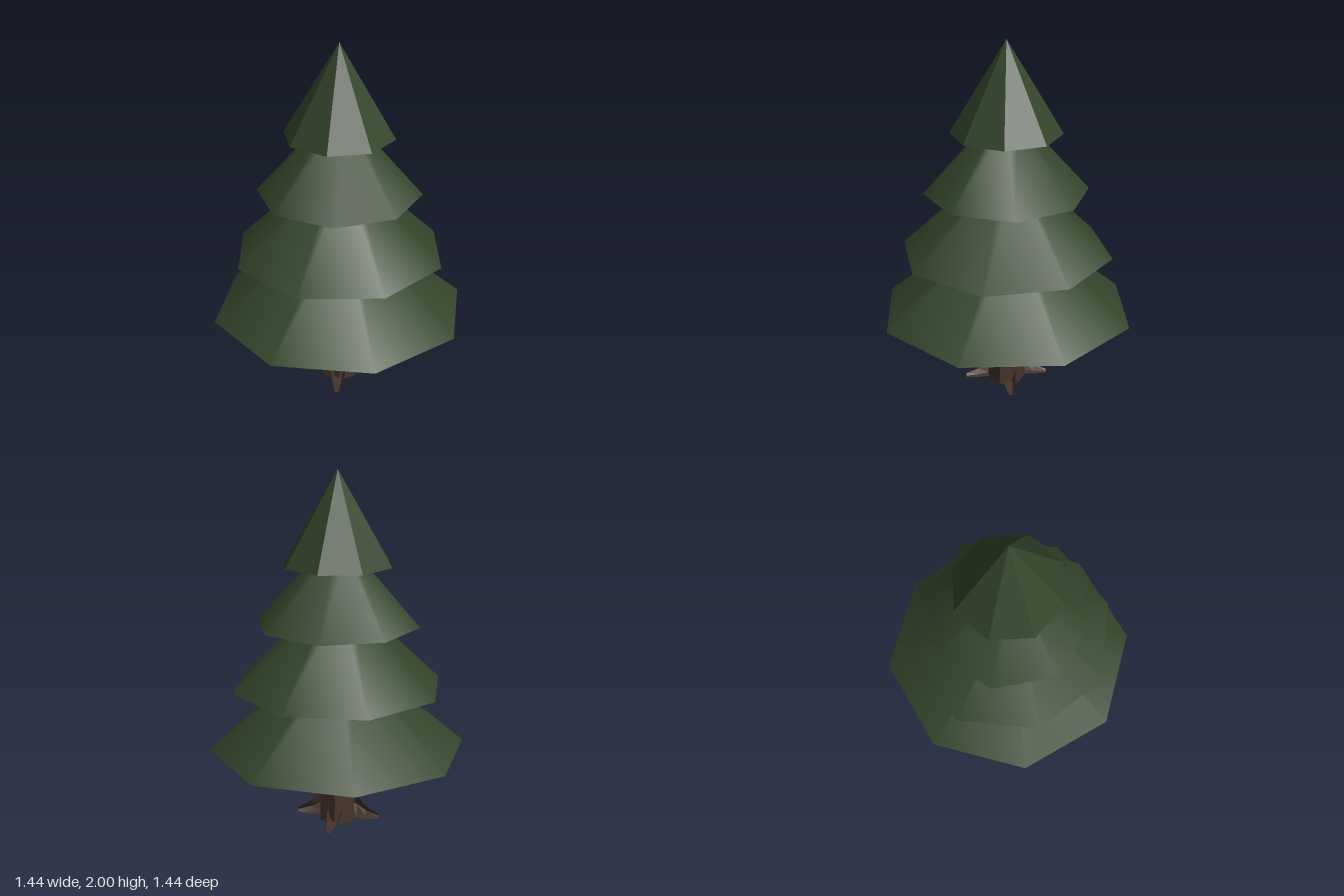
import * as THREE from 'three';

const needleGreen = new THREE.MeshStandardMaterial({ color: 0x33452a, side: THREE.DoubleSide });
needleGreen.name = 'needleGreen';
const barkBrown = new THREE.MeshStandardMaterial({ color: 0x46342a });
barkBrown.name = 'barkBrown';

function flat(geometry) {
  const g = geometry.index ? geometry.toNonIndexed() : geometry;
  g.computeVertexNormals();
  return g;
}

// One foliage tier: an eight-sided skirt with a shallow hollow underneath
function tier({ name, y, radius, topY, topRadius, turn, faceted }) {
  const group = new THREE.Group();
  group.name = name;
  const h = topY - y;
  let skirt = new THREE.CylinderGeometry(topRadius, radius, h, 8, 1, true, turn);
  if (faceted) skirt = flat(skirt);
  const outer = new THREE.Mesh(skirt, needleGreen);
  outer.name = name + 'Skirt';
  outer.position.y = y + h / 2;
  const hollow = 0.2;
  const inner = new THREE.Mesh(
    new THREE.CylinderGeometry(0, radius, hollow, 8, 1, true, turn), needleGreen);
  inner.name = name + 'Underside';
  inner.position.y = y + hollow / 2;
  group.add(outer, inner);
  return group;
}

// Root lofted along +x from diamond sections: [distance, top, bottom, halfWidth]
function rootGeometry() {
  const sections = [
    [0.06, 0.2, 0.02, 0.035],
    [0.105, 0.15, 0.015, 0.042],
    [0.16, 0.085, 0.008, 0.032],
    [0.235, 0.037, 0.008, 0.016],
  ];
  const positions = [];
  const index = [];
  sections.forEach(([x, top, bottom, w]) => {
    const mid = bottom + (top - bottom) * 0.4;
    positions.push(x, top, 0, x, mid, w, x, bottom, w * 0.5, x, bottom, -w * 0.5, x, mid, -w);
  });
  const n = 5;
  for (let s = 0; s < sections.length - 1; s++) {
    for (let i = 0; i < n; i++) {
      const a = s * n + i, b = s * n + (i + 1) % n;
      index.push(a, b, a + n, b, b + n, a + n);
    }
  }
  const e = (sections.length - 1) * n;
  for (let i = 1; i < n - 1; i++) index.push(e, e + i, e + i + 1);
  // Wind the faces outward
  for (let i = 0; i < index.length - 9; i += 3) {
    [index[i + 1], index[i + 2]] = [index[i + 2], index[i + 1]];
  }
  for (let i = index.length - 9; i < index.length; i += 3) {
    [index[i + 1], index[i + 2]] = [index[i + 2], index[i + 1]];
  }
  const g = new THREE.BufferGeometry();
  g.setAttribute('position', new THREE.Float32BufferAttribute(positions, 3));
  g.setIndex(index);
  return flat(g);
}

export function createModel() {
  const tree = new THREE.Group();
  tree.name = 'pineTree';

  // Foliage, bottom to top
  [
    { name: 'bottomTier', y: 0.445, radius: 0.72, topY: 0.98, topRadius: 0.09, turn: 0.02 },
    { name: 'lowerTier', y: 0.805, radius: 0.595, topY: 1.29, topRadius: 0.09, turn: 0.167 },
    { name: 'upperTier', y: 1.16, radius: 0.455, topY: 1.58, topRadius: 0.08, turn: 0.47 },
    { name: 'crownTier', y: 1.49, radius: 0.307, topY: 2, topRadius: 0, turn: 0.335, faceted: true },
  ].forEach((t) => tree.add(tier(t)));

  // Six-sided tapering trunk
  const trunkHeight = 1.4;
  const trunk = new THREE.Mesh(
    flat(new THREE.CylinderGeometry(0.055, 0.108, trunkHeight, 6, 1, false, Math.PI / 2)), barkBrown);
  trunk.name = 'trunk';
  trunk.position.y = trunkHeight / 2;
  tree.add(trunk);

  // Four roots
  const root = rootGeometry();
  for (let i = 0; i < 4; i++) {
    const mesh = new THREE.Mesh(root, barkBrown);
    mesh.name = 'root' + (i + 1);
    mesh.rotation.y = THREE.MathUtils.degToRad(28 + 90 * i);
    tree.add(mesh);
  }
  return tree;
}
